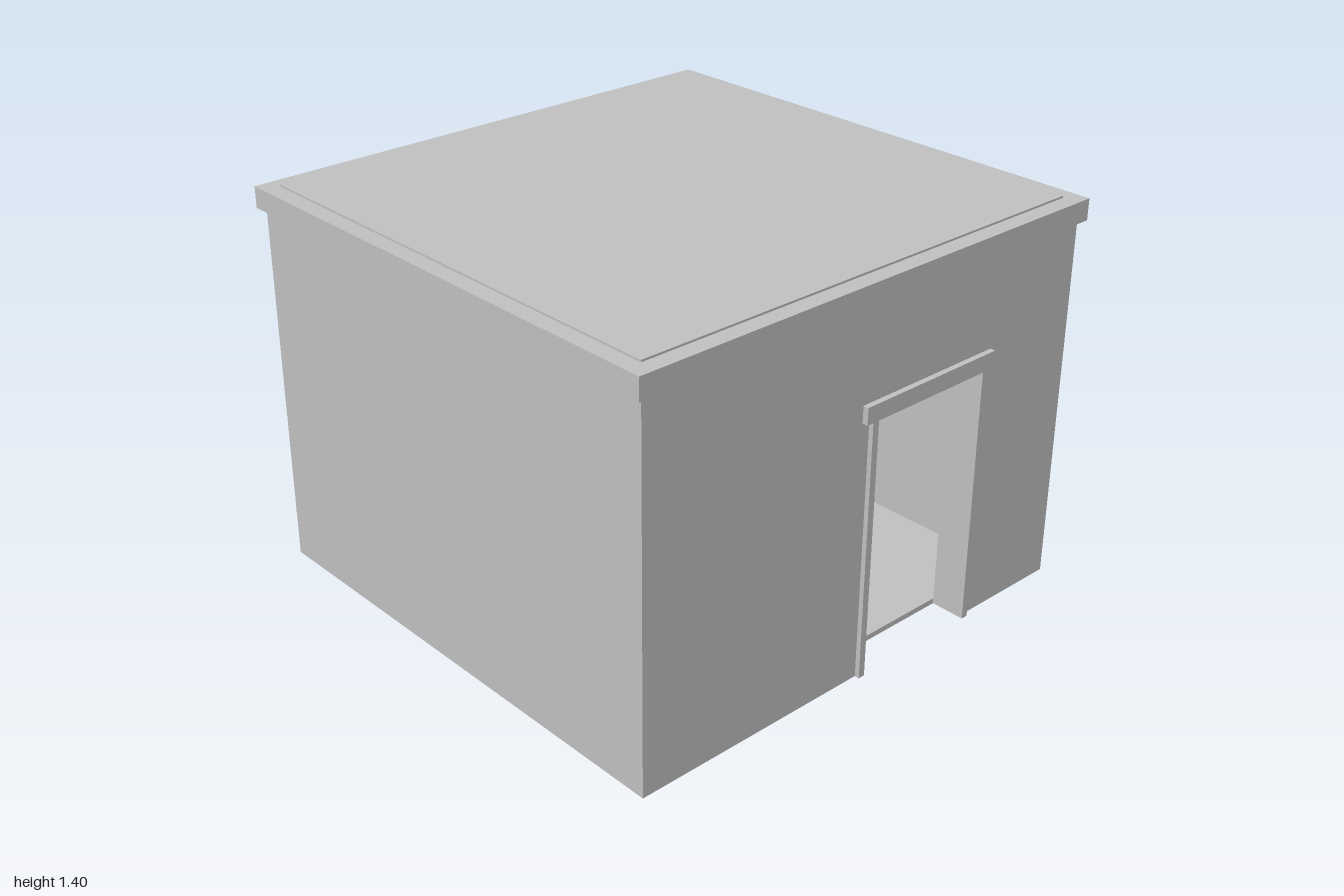
import * as THREE from 'three';

export function createModel() {
  const model = new THREE.Group();
  const grey = new THREE.MeshStandardMaterial({ color: 0xbfbfbf });
  grey.name = 'light grey';

  const add = (name, geometry) => {
    const mesh = new THREE.Mesh(geometry, grey);
    mesh.name = name;
    model.add(mesh);
    return mesh;
  };

  // Box given by its lower and upper limits on each axis
  const box = (name, x0, x1, y0, y1, z0, z1) =>
    add(name, new THREE.BoxGeometry(x1 - x0, y1 - y0, z1 - z0))
      .position.set((x0 + x1) / 2, (y0 + y1) / 2, (z0 + z1) / 2);

  const W = 0.94, H = 1.32, T = 0.11, FRONT = 0.98, BACK = -0.87;

  // Wall with an opening that reaches the ground
  const wallWithOpening = (name, x0, x1, top, z) => {
    const outline = [[-W, 0], [x0, 0], [x0, top], [x1, top], [x1, 0], [W, 0], [W, H], [-W, H]];
    const shape = new THREE.Shape(outline.map(([x, y]) => new THREE.Vector2(x, y)));
    const geometry = new THREE.ExtrudeGeometry(shape, { depth: T, bevelEnabled: false });
    add(name, geometry).position.z = z;
  };
  wallWithOpening('frontWall', 0, 0.49, 0.93, FRONT - T);
  wallWithOpening('backWall', -0.505, 0.505, 1.08, BACK);
  for (const [name, s] of [['leftWall', 1], ['rightWall', -1]]) {
    const xs = [s * W, s * (W - T)].sort((a, b) => a - b);
    box(name, xs[0], xs[1], 0, H, BACK + T, FRONT - T);
  }

  // Floor between the walls
  box('floor', -W + T, W - T, 0, 0.02, BACK + T, FRONT - T);

  // Roof slab with a slightly raised panel
  box('roof', -0.965, 0.965, H, 1.395, -0.89, 1);
  box('roofPanel', -0.905, 0.905, 1.395, 1.402, -0.83, 0.94);

  // Door frame
  box('doorPostRight', -0.025, 0, 0, 0.93, FRONT, 0.997);
  box('doorPostLeft', 0.49, 0.515, 0, 0.93, FRONT, 0.997);
  box('doorHeader', -0.055, 0.54, 0.93, 0.99, FRONT, 1);

  // Roller shutter, half open
  box('shutterHousing', -0.533, 0.533, 1.065, 1.21, -1, BACK);
  box('shutterCurtain', -0.52, 0.52, 0.29, 1.065, -0.927, -0.905);
  box('shutterBottomBar', -0.522, 0.522, 0.27, 0.295, -0.938, -0.9);
  for (const s of [-1, 1]) {
    const name = s > 0 ? 'shutterRailLeft' : 'shutterRailRight';
    const a = s * 0.503, b = s * 0.533;
    box(name, Math.min(a, b), Math.max(a, b), 0, 1.065, -0.904, BACK);
  }

  // Counter inside, against the front wall
  box('counter', -0.66, -0.16, 0.02, 0.42, 0.38, FRONT - T);

  return model;
}
